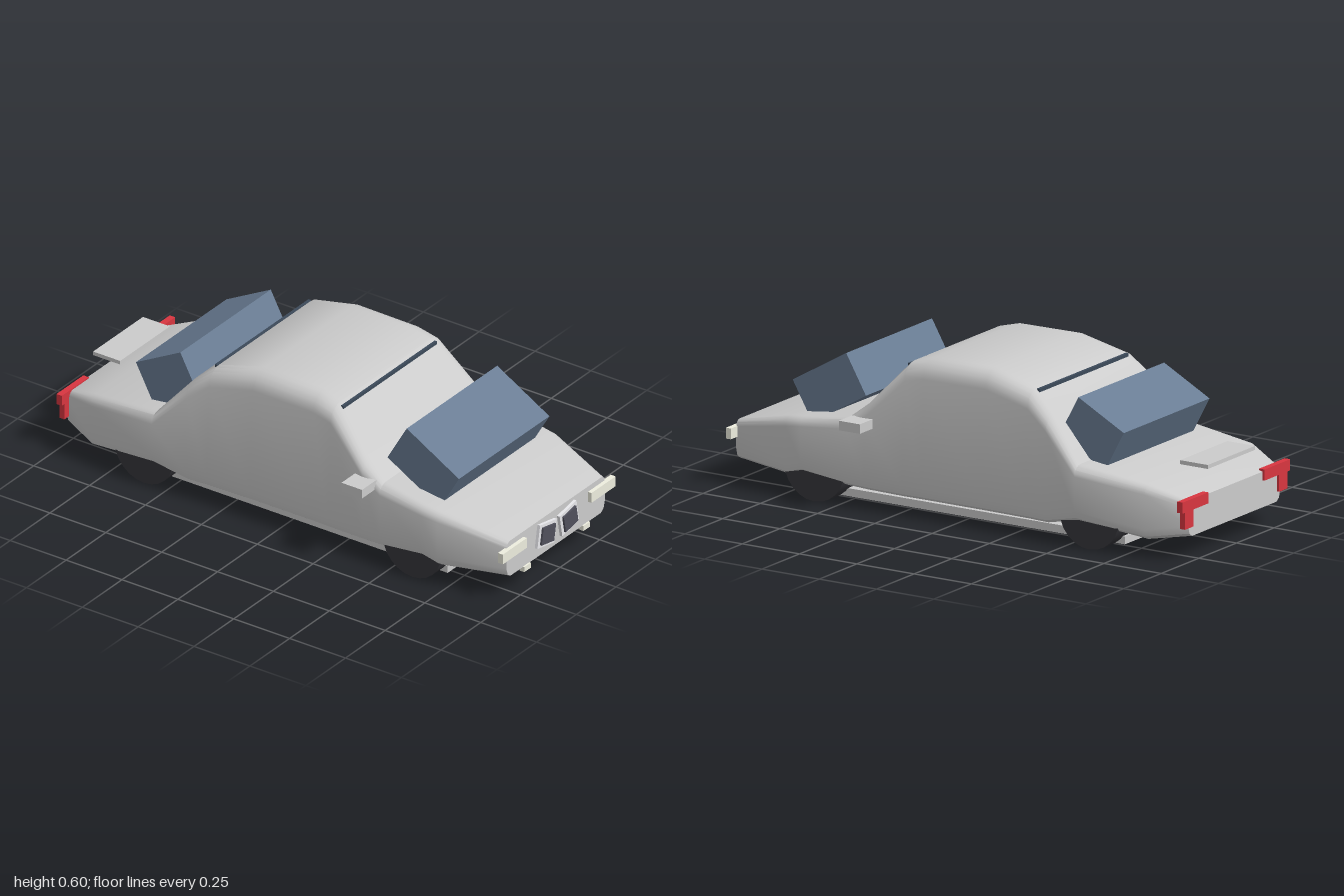
import * as THREE from 'three';
import { toCreasedNormals } from 'three/addons/utils/BufferGeometryUtils.js';

const mat = (color) => new THREE.MeshStandardMaterial({ color });
const grey = mat(0xcccccc), glass = mat(0x6a7d94), dark = mat(0x35353a), black = mat(0x2a2c30);
const cream = mat(0xeeeedf), red = mat(0xd93640), white = mat(0xe8e8ec), mesh = mat(0x50505c);

function add(parent, name, geometry, material, x = 0, y = 0, z = 0) {
  const m = new THREE.Mesh(geometry, material);
  m.name = name;
  m.position.set(x, y, z);
  parent.add(m);
  return m;
}

// Box given by its extents along x, y and z
function span(parent, name, material, [x0, x1], [y0, y1], [z0, z1]) {
  const g = new THREE.BoxGeometry(x1 - x0, y1 - y0, z1 - z0);
  return add(parent, name, g, material, (x0 + x1) / 2, (y0 + y1) / 2, (z0 + z1) / 2);
}

// Body stations from nose to tail: z, half width, bottom, top, top corner radius
const STATIONS = [
  [0.98, 0.31, 0.09, 0.238, 0.025],
  [0.72, 0.38, 0.085, 0.305, 0.035],
  [0.65, 0.385, 0.105, 0.314, 0.035],
  [0.46, 0.378, 0.08, 0.338, 0.04],
  [0.38, 0.375, 0.075, 0.4, 0.05],
  [0.22, 0.367, 0.07, 0.572, 0.065],
  [0.14, 0.365, 0.07, 0.595, 0.07],
  [-0.13, 0.366, 0.07, 0.598, 0.07],
  [-0.32, 0.37, 0.07, 0.55, 0.065],
  [-0.41, 0.377, 0.07, 0.475, 0.06],
  [-0.55, 0.392, 0.103, 0.312, 0.04],
  [-0.84, 0.367, 0.07, 0.277, 0.035],
  [-0.99, 0.305, 0.09, 0.225, 0.025],
];

// Rounded cross-section, counterclockwise seen from the front
function section(hw, bottom, top, r) {
  const half = [[hw - 0.025, bottom], [hw - 0.008, bottom + 0.012], [hw, bottom + 0.04]];
  const lean = 0.12 * Math.max(0, top - r - 0.35);
  for (let k = 0; k <= 5; k++) {
    const a = (k / 5) * Math.PI / 2;
    half.push([hw - lean - r + r * Math.cos(a), top - r + r * Math.sin(a)]);
  }
  return [...half, ...half.map(([x, y]) => [-x, y]).reverse()];
}

function bodyGeometry() {
  const pos = [], idx = [];
  let n = 0;
  for (const [z, ...s] of STATIONS) {
    const ring = section(...s);
    n = ring.length;
    ring.forEach(([x, y]) => pos.push(x, y, z));
  }
  const last = (STATIONS.length - 1) * n;
  for (let i = 0; i < STATIONS.length - 1; i++) {
    for (let j = 0; j < n; j++) {
      const a = i * n + j, b = i * n + (j + 1) % n;
      idx.push(a, a + n, b, a + n, b + n, b);
    }
  }
  // Flat nose and tail
  for (let j = 1; j < n - 1; j++) {
    idx.push(0, j, j + 1, last, last + j + 1, last + j);
  }
  const g = new THREE.BufferGeometry();
  g.setAttribute('position', new THREE.Float32BufferAttribute(pos, 3));
  g.setIndex(idx);
  return toCreasedNormals(g, 0.45);
}

export function createModel() {
  const car = new THREE.Group();
  car.name = 'car';
  add(car, 'body', bodyGeometry(), grey);

  // Tilted glass blocks in front of and behind the cabin
  add(car, 'windshield', new THREE.BoxGeometry(0.57, 0.172, 0.27), glass, 0, 0.413, 0.59).rotation.x = 0.525;
  add(car, 'rearWindow', new THREE.BoxGeometry(0.57, 0.175, 0.225), glass, 0, 0.411, -0.555).rotation.x = -0.49;

  // Thin seams across the cabin
  span(car, 'frontRoofSeam', mat(0x3c4a5a), [-0.295, 0.295], [0.54, 0.562], [0.228, 0.24]);
  span(car, 'rearRoofSeam', mat(0x3c4a5a), [-0.295, 0.295], [0.53, 0.55], [-0.335, -0.323]);

  // Underside
  span(car, 'chassis', grey, [-0.3, 0.3], [0.02, 0.05], [-0.71, 0.71]);
  span(car, 'floorPanel', black, [-0.265, 0.265], [0.012, 0.02], [-0.68, 0.68]);
  span(car, 'rearShelf', grey, [-0.157, 0.157], [0.313, 0.328], [-0.978, -0.857]);

  const wheel = new THREE.CylinderGeometry(0.13, 0.13, 0.102, 24).rotateZ(Math.PI / 2);
  for (const s of [1, -1]) {
    const side = s > 0 ? 'left' : 'right';
    const mx = (a, b) => (s > 0 ? [a, b] : [-b, -a]);

    for (const z of [0.6, -0.6]) {
      add(car, side + (z > 0 ? 'FrontWheel' : 'RearWheel'), wheel, dark, s * 0.319, 0.13, z);
      span(car, side + 'AxleMount', dark, mx(0.187, 0.27), [0.045, 0.12], [z - 0.05, z + 0.05]);
    }

    span(car, side + 'Mirror', grey, mx(0.365, 0.455), [0.314, 0.35], [0.345, 0.437]);
    span(car, side + 'Headlight', cream, mx(0.203, 0.355), [0.175, 0.216], [0.974, 0.996]);
    span(car, side + 'FogLight', cream, mx(0.166, 0.207), [0.071, 0.092], [0.965, 0.987]);

    // Slanted grille half
    const grille = new THREE.Group();
    grille.name = side + 'Grille';
    grille.position.set(s * 0.07, 0.17, 0);
    grille.rotation.z = s * 0.185;
    span(grille, 'grilleFrame', white, [-0.054, 0.054], [-0.046, 0.046], [0.972, 0.992]);
    span(grille, 'grilleMesh', mesh, [-0.04, 0.04], [-0.034, 0.034], [0.98, 1]);
    car.add(grille);

    // L-shaped tail light
    span(car, side + 'TailLightBar', red, mx(0.187, 0.357), [0.193, 0.235], [-1, -0.976]);
    span(car, side + 'TailLightLeg', red, mx(0.285, 0.34), [0.128, 0.194], [-0.999, -0.977]);
  }
  return car;
}
